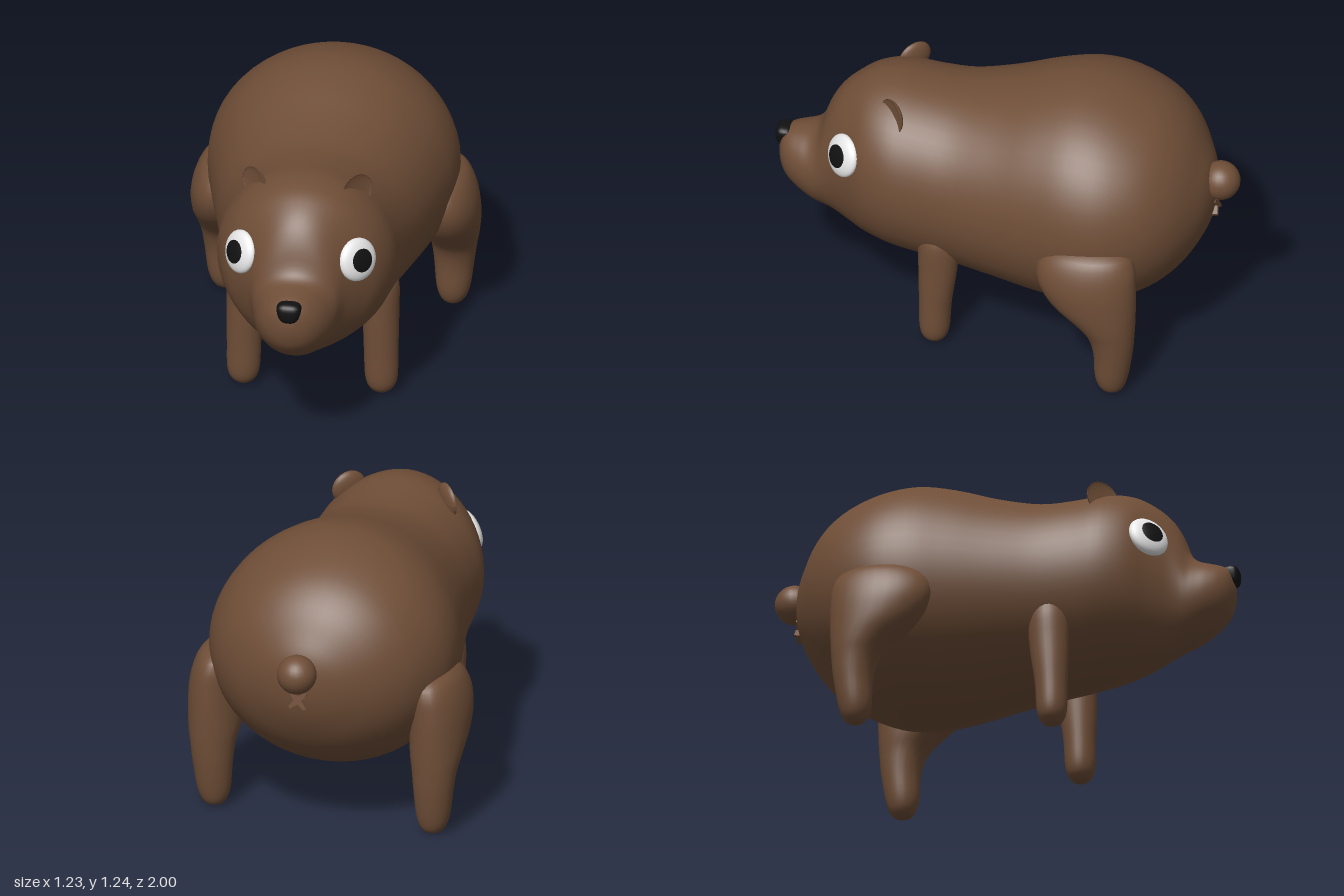
import * as THREE from 'three';
import { mergeVertices } from 'three/addons/utils/BufferGeometryUtils.js';

const fur = new THREE.MeshStandardMaterial({ name: 'brownFur', color: 0x6f4e37 });
const white = new THREE.MeshStandardMaterial({ name: 'eyeWhite', color: 0xf2f2f2 });
const black = new THREE.MeshStandardMaterial({ name: 'black', color: 0x111111 });

function add(parent, name, geometry, material) {
  const mesh = new THREE.Mesh(geometry, material);
  mesh.name = name;
  parent.add(mesh);
  return mesh;
}

// Smooth interpolation between rows; closed ends are mirrored so they stay round.
function sampleRows(rows, steps) {
  const beyond = ([p, a, b, ra, rb]) => [p, a, b, -ra, -rb];
  const all = [beyond(rows[1]), ...rows, beyond(rows[rows.length - 2])];
  const out = [];
  for (let i = 1; i < all.length - 2; i++) {
    for (let k = 0; k < steps; k++) {
      const t = k / steps;
      out.push(all[i].map((p1, c) => {
        const p0 = all[i - 1][c], p2 = all[i + 1][c], p3 = all[i + 2][c];
        return p1 + 0.5 * t * (p2 - p0 + t * (2 * p0 - 5 * p1 + 4 * p2 - p3
          + t * (3 * (p1 - p2) + p3 - p0)));
      }));
    }
  }
  out.push(rows[rows.length - 1]);
  return out;
}

// Elliptical rings, each [position, centreA, centreB, radiusA, radiusB]; place() maps to x, y, z.
function loft(rows, steps, sides, place) {
  const rings = sampleRows(rows, steps), positions = [], index = [];
  rings.forEach(([p, a, b, ra, rb], i) => {
    for (let j = 0; j < sides; j++) {
      const t = (j / sides) * Math.PI * 2;
      positions.push(...place(p, a + ra * Math.cos(t), b + rb * Math.sin(t)));
      if (i === rings.length - 1) continue;
      const n = (j + 1) % sides, lo = i * sides, hi = lo + sides;
      index.push(lo + j, lo + n, hi + n, lo + j, hi + n, hi + j);
    }
  });
  const g = new THREE.BufferGeometry();
  g.setAttribute('position', new THREE.Float32BufferAttribute(positions, 3));
  g.setIndex(index);
  const merged = mergeVertices(g, 1e-5);
  merged.computeVertexNormals();
  return merged;
}

// Moves every vertex by a rule.
function reshape(geometry, rule) {
  const p = geometry.attributes.position, v = new THREE.Vector3();
  for (let i = 0; i < p.count; i++) {
    rule(v.fromBufferAttribute(p, i));
    p.setXYZ(i, v.x, v.y, v.z);
  }
  geometry.computeVertexNormals();
  return geometry;
}

function face(object, x, y, z) {
  object.quaternion.setFromUnitVectors(new THREE.Vector3(0, 0, 1), new THREE.Vector3(x, y, z).normalize());
}

// Body and head in one skin: z, top, bottom, half width
const bodyProfile = [
  [-0.9, 0.74, 0.74, 0], [-0.885, 0.85, 0.63, 0.11], [-0.845, 0.94, 0.53, 0.22],
  [-0.77, 1.06, 0.415, 0.35], [-0.66, 1.155, 0.32, 0.455], [-0.5, 1.222, 0.242, 0.523],
  [-0.34, 1.245, 0.217, 0.528], [-0.18, 1.22, 0.227, 0.495], [0, 1.165, 0.26, 0.45],
  [0.18, 1.13, 0.29, 0.408], [0.33, 1.137, 0.31, 0.386], [0.46, 1.15, 0.335, 0.375],
  [0.57, 1.133, 0.365, 0.332], [0.65, 1.09, 0.39, 0.265], [0.715, 1.03, 0.418, 0.212],
  [0.76, 0.955, 0.438, 0.187], [0.795, 0.865, 0.455, 0.175], [0.83, 0.828, 0.473, 0.165],
  [0.88, 0.812, 0.507, 0.147], [0.93, 0.798, 0.548, 0.117], [0.965, 0.772, 0.6, 0.072],
  [0.982, 0.68, 0.68, 0],
];

// Legs: y, z centre, x centre, z radius, x radius
const frontLegRows = [
  [0.005, 0.25, 0.293, 0, 0], [0.018, 0.25, 0.293, 0.04, 0.042], [0.07, 0.25, 0.293, 0.063, 0.068],
  [0.2, 0.247, 0.291, 0.069, 0.073], [0.38, 0.237, 0.289, 0.083, 0.077],
  [0.54, 0.232, 0.285, 0.08, 0.075], [0.62, 0.232, 0.28, 0, 0],
];
const backLegRows = [
  [0.002, -0.555, 0.483, 0, 0], [0.018, -0.555, 0.483, 0.045, 0.045], [0.08, -0.555, 0.485, 0.07, 0.071],
  [0.2, -0.562, 0.488, 0.083, 0.085], [0.29, -0.553, 0.49, 0.1, 0.096], [0.36, -0.525, 0.49, 0.132, 0.11],
  [0.45, -0.475, 0.49, 0.185, 0.122], [0.55, -0.447, 0.487, 0.212, 0.124],
  [0.64, -0.445, 0.475, 0.205, 0.113], [0.7, -0.455, 0.46, 0.15, 0.085], [0.728, -0.46, 0.45, 0, 0],
];

export function createModel() {
  const bear = new THREE.Group();
  bear.name = 'bear';

  const bodyRows = bodyProfile.map(([z, top, bottom, w]) => [z, 0, (top + bottom) / 2, w, (top - bottom) / 2]);
  add(bear, 'body', loft(bodyRows, 4, 56, (p, a, b) => [a, b, p]), fur);

  for (const [s, side] of [[1, 'left'], [-1, 'right']]) {
    const legs = { FrontLeg: frontLegRows, BackLeg: backLegRows };
    for (const [name, rows] of Object.entries(legs)) {
      const placed = rows.map(([y, z, x, rz, rx]) => [y, z, s * x, rz, rx]);
      add(bear, side + name, loft(placed, 4, 28, (p, a, b) => [b, p, a]), fur);
    }

    // Eye: flattened ball with a pupil cap
    const eye = new THREE.Group();
    eye.name = side + 'Eye';
    eye.position.set(s * 0.248, 0.858, 0.655);
    face(eye, s * 0.7, 0.27, 0.66);
    bear.add(eye);
    add(eye, 'eyeball', new THREE.SphereGeometry(1, 28, 18).rotateX(Math.PI / 2).scale(0.093, 0.093, 0.038), white);
    add(eye, 'pupil', new THREE.SphereGeometry(1, 24, 6, 0, Math.PI * 2, 0, 0.56)
      .rotateX(Math.PI / 2).scale(0.095, 0.095, 0.042), black);

    // Ear: thin cup, hollow towards the front
    const earShape = reshape(new THREE.SphereGeometry(1, 24, 16).rotateX(Math.PI / 2), (v) => {
      if (v.z > 0) v.z *= -0.3;
      v.set(v.x * 0.078, v.y * 0.075, v.z * 0.032 + 0.012);
    });
    const ear = add(bear, side + 'Ear', earShape, fur);
    ear.position.set(s * 0.212, 1.072, 0.445);
    face(ear, s * 0.7, 0.08, 0.7);
  }

  // Nose: boxy ball, narrower below
  const boxy = (n) => Math.sign(n) * Math.abs(n) ** 0.7;
  const noseShape = reshape(new THREE.SphereGeometry(1, 20, 14), (v) => {
    const y = boxy(v.y);
    v.set(boxy(v.x) * 0.05 * (1 + 0.2 * y), y * 0.046, boxy(v.z) * 0.04);
  });
  add(bear, 'nose', noseShape, black).position.set(0, 0.753, 0.959);

  // Tail
  add(bear, 'tail', new THREE.SphereGeometry(0.084, 24, 16), fur).position.set(0, 0.805, -0.916);

  // Small puckered cross under the tail
  const cross = new THREE.Shape();
  for (let i = 0; i < 16; i++) {
    const r = [0.052, 0.048, 0.017, 0.048][i % 4];
    const t = Math.floor(i / 4) * Math.PI / 2 + [0.7, 0.95, 1.57, 2.19][i % 4];
    if (i % 4 === 3) continue;
    cross[i ? 'lineTo' : 'moveTo'](r * Math.cos(t), r * Math.sin(t));
  }
  cross.closePath();
  const pucker = add(bear, 'puckerUnderTail',
    new THREE.ExtrudeGeometry(cross, { depth: 0.03, bevelEnabled: false }).translate(0, 0, -0.015), fur);
  pucker.position.set(0, 0.68, -0.892);
  pucker.rotation.x = 0.15;

  return bear;
}
